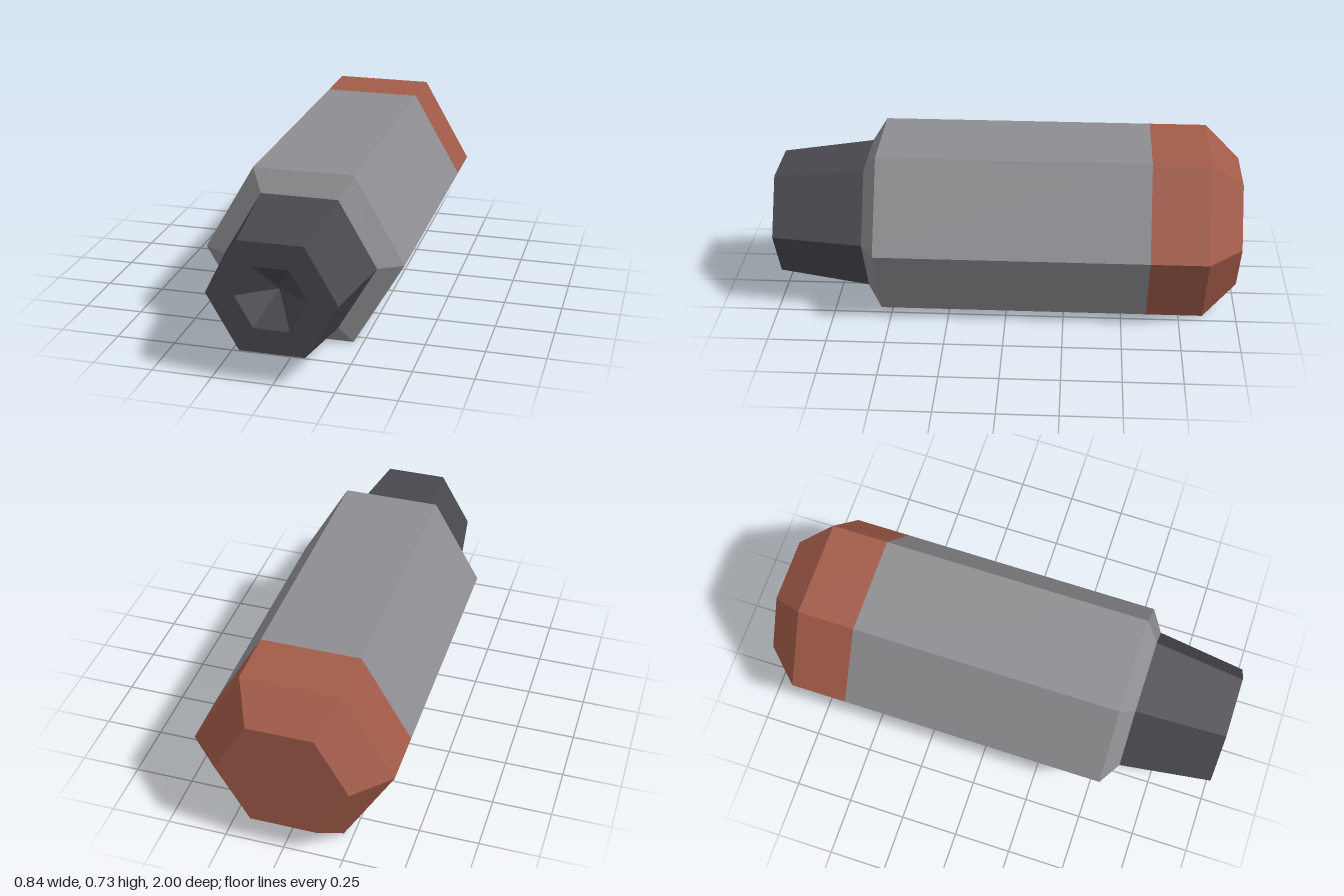
import * as THREE from 'three';

const material = (name, color) =>
  new THREE.MeshStandardMaterial({ name, color, flatShading: true });

// Six-sided turned part along z; profile is [radius, z] from back to front
function hexPart(name, profile, mat) {
  const points = profile.map(([r, z]) => new THREE.Vector2(r, z));
  const geometry = new THREE.LatheGeometry(points, 6, Math.PI / 2);
  geometry.rotateX(Math.PI / 2);
  const mesh = new THREE.Mesh(geometry, mat);
  mesh.name = name;
  return mesh;
}

export function createModel() {
  const grey = material('bodyGrey', 0x8e8e92);
  const rust = material('capRust', 0xa25b49);
  const dark = material('noseDark', 0x49484e);
  const R = 0.419;

  const group = new THREE.Group();
  group.name = 'hexCartridge';
  group.add(
    // Bevelled rear cap with closed end
    hexPart('rearCap', [[0, -1], [0.277, -1], [R, -0.855], [R, -0.61]], rust),
    // Long body with a chamfered shoulder
    hexPart('body', [[R, -0.61], [R, 0.55], [0.32, 0.61]], grey),
    // Tapered nose with a conical recess
    hexPart('nose', [[0.32, 0.61], [0.265, 1], [0.148, 1], [0, 0.89]], dark)
  );
  // Rest the lower flat on the ground
  group.children.forEach((part) => { part.position.y = R * Math.sqrt(3) / 2; });
  return group;
}
